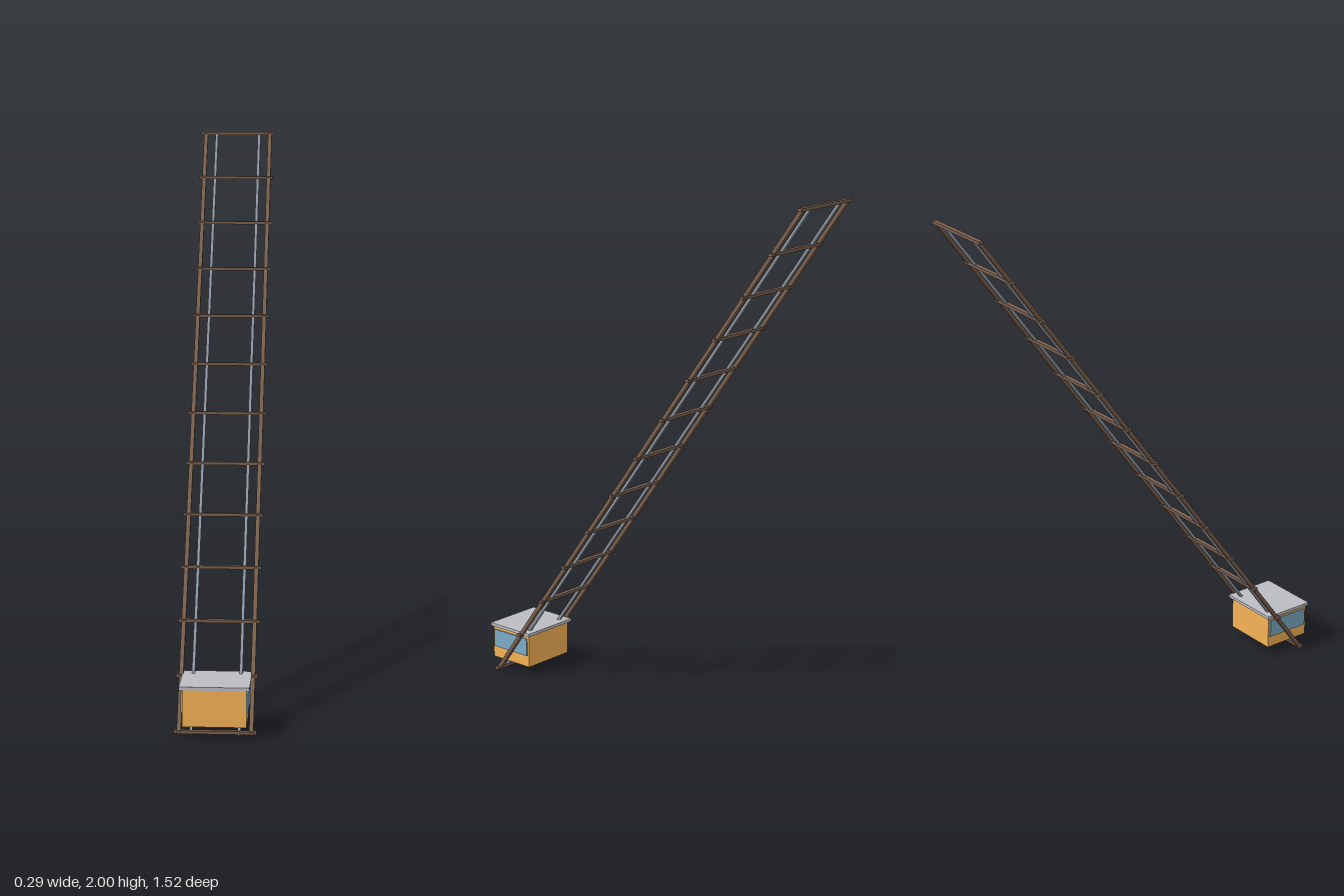
import * as THREE from 'three';

export function createModel() {
  const group = new THREE.Group();
  const mat = (color) => new THREE.MeshStandardMaterial({ color, flatShading: true });
  const wood = mat(0x7a604e), steel = mat(0x8f98a3), paint = mat(0xf5b256);
  const glass = mat(0x7cabc6), roofGrey = mat(0xbcbcc4);

  // Line of the inclined track
  const bottom = new THREE.Vector3(0, 0.012, 0.708);
  const top = new THREE.Vector3(0, 1.994, -0.752);
  const direction = top.clone().sub(bottom).normalize();
  const slope = new THREE.Quaternion().setFromUnitVectors(new THREE.Vector3(0, 1, 0), direction);

  function box(name, material, w, h, d, x, y, z) {
    const mesh = new THREE.Mesh(new THREE.BoxGeometry(w, h, d), material);
    mesh.name = name;
    mesh.position.set(x, y, z);
    group.add(mesh);
    return mesh;
  }

  // Beams reach slightly past the lowest tie
  const foot = bottom.clone().addScaledVector(direction, -0.01);
  const middle = foot.clone().lerp(top, 0.5);
  const length = foot.distanceTo(top);
  function beam(name, material, width, depth, x) {
    box(name, material, width, length, depth, x, middle.y, middle.z).quaternion.copy(slope);
  }

  // Outer wooden beams, inner steel rails and the cabin's side windows
  for (const [side, s] of [['left', 1], ['right', -1]]) {
    beam(side + 'Beam', wood, 0.015, 0.014, s * 0.125);
    beam(side + 'Rail', steel, 0.011, 0.01, s * 0.083);
    box(side + 'Window', glass, 0.007, 0.07, 0.175, s * 0.112, 0.124, 0.6575);
  }

  // Cross ties
  const ties = 13;
  for (let i = 0; i < ties; i++) {
    const p = bottom.clone().lerp(top, i / (ties - 1));
    box('crossTie', wood, 0.286, 0.011, 0.017, 0, p.y, p.z);
  }

  // Cabin
  box('cabin', paint, 0.22, 0.13, 0.192, 0, 0.108, 0.6575);
  box('cabinRoof', roofGrey, 0.242, 0.012, 0.207, 0, 0.179, 0.654);

  return group;
}
